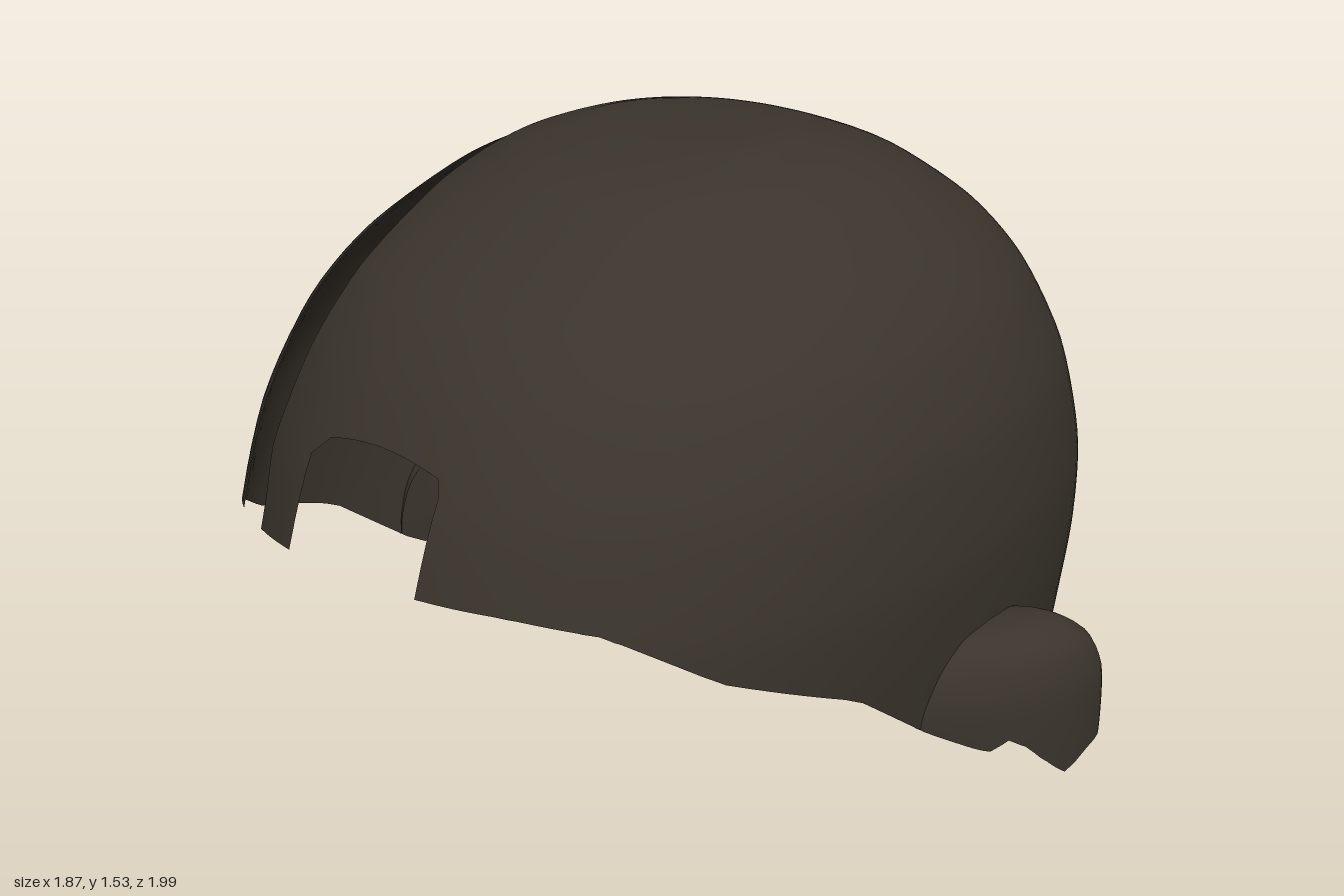
import * as THREE from 'three';

// Piecewise-linear lookup through [key, value] points with rising keys
function lookup(points, k) {
  if (k <= points[0][0]) return points[0][1];
  for (let i = 1; i < points.length; i++) {
    const [a, va] = points[i - 1], [b, vb] = points[i];
    if (k <= b) return va + (vb - va) * (k - a) / (b - a);
  }
  return points[points.length - 1][1];
}

// Rings stacked from the top down; each row is [y, half width, front depth, back depth]
function ringSurface(rows, segments, steps) {
  const outer = new THREE.CatmullRomCurve3(rows.map(r => new THREE.Vector3(r[1], r[0], r[2])), false, 'catmullrom', 0.4);
  const back = new THREE.CatmullRomCurve3(rows.map(r => new THREE.Vector3(r[3], 0, 0)), false, 'catmullrom', 0.4);
  const round = v => Math.sign(v) * Math.pow(Math.abs(v), 2 / 2.2);
  const positions = [], index = [];
  const levels = (rows.length - 1) * steps;
  for (let i = 0; i <= levels; i++) {
    const o = outer.getPoint(i / levels), b = back.getPoint(i / levels).x;
    for (let j = 0; j < segments; j++) {
      const a = j / segments * Math.PI * 2, c = Math.cos(a);
      positions.push(o.x * round(Math.sin(a)), o.y, (c > 0 ? o.z : b) * round(c));
      if (i === levels) continue;
      const p = i * segments + j, q = i * segments + (j + 1) % segments;
      index.push(p, p + segments, q, q, p + segments, q + segments);
    }
  }
  const geometry = new THREE.BufferGeometry();
  geometry.setAttribute('position', new THREE.Float32BufferAttribute(positions, 3));
  geometry.setIndex(index);
  return geometry;
}

// Trims a surface, keeping only what every test function finds positive
function trim(geometry, tests) {
  geometry.computeVertexNormals();
  const flat = geometry.toNonIndexed();
  const P = flat.attributes.position, N = flat.attributes.normal;
  const positions = [], normals = [];
  for (let i = 0; i < P.count; i += 3) {
    let poly = [0, 1, 2].map(k => ({
      p: new THREE.Vector3().fromBufferAttribute(P, i + k),
      n: new THREE.Vector3().fromBufferAttribute(N, i + k),
    }));
    for (const test of tests) {
      const next = [];
      poly.forEach((a, k) => {
        const b = poly[(k + 1) % poly.length], fa = test(a.p), fb = test(b.p);
        if (fa >= 0) next.push(a);
        if ((fa >= 0) !== (fb >= 0)) {
          const t = fa / (fa - fb);
          next.push({ p: a.p.clone().lerp(b.p, t), n: a.n.clone().lerp(b.n, t).normalize() });
        }
      });
      poly = next;
    }
    for (let k = 2; k < poly.length; k++) {
      for (const v of [poly[0], poly[k - 1], poly[k]]) {
        positions.push(v.p.x, v.p.y, v.p.z);
        normals.push(v.n.x, v.n.y, v.n.z);
      }
    }
  }
  const result = new THREE.BufferGeometry();
  result.setAttribute('position', new THREE.Float32BufferAttribute(positions, 3));
  result.setAttribute('normal', new THREE.Float32BufferAttribute(normals, 3));
  return result;
}

// Ragged lower rim: height by z
const RIM = [
  [-0.74, 0], [-0.71, 0.01], [-0.62, 0.11], [-0.55, 0.1], [-0.49, 0.2], [-0.37, 0.19],
  [-0.28, 0.31], [-0.21, 0.31], [-0.11, 0.27], [-0.08, 0.33], [-0.04, 0.34], [-0.03, 0.38],
  [-0.01, 0.36], [0.035, 0.43], [0.045, 0.37], [0.13, 0.42], [0.36, 0.59], [0.66, 0.72],
  [0.83, 0.84], [0.93, 0.87], [1, 0.88],
];
// Long slot: x of its two edges by angle, running from the front over the top to the back
const SLOT_INNER = [
  [24, -0.29], [31, -0.32], [49, -0.31], [69, -0.34], [86, -0.34], [103, -0.25],
  [104.5, -0.36], [125, -0.3], [140, -0.31], [167, -0.31], [180, -0.285],
];
const SLOT_OUTER = [
  [24, -0.42], [36, -0.45], [49, -0.46], [69, -0.44], [90, -0.44], [125, -0.42],
  [168, -0.42], [170, -0.48], [180, -0.4],
];

const aboveRim = p => p.y - lookup(RIM, p.z);
const outsideNotch = p => Math.max(p.y - 1.11 + p.x * p.x, Math.abs(p.x) - 0.168, -p.z);
function outsideSlot(p) {
  let angle = THREE.MathUtils.radToDeg(Math.atan2(p.y - 0.5, p.z));
  if (angle < -90) angle += 360;
  return Math.max(p.x - lookup(SLOT_INNER, angle), lookup(SLOT_OUTER, angle) - p.x, (angle - 180) * 0.015);
}

export function createModel() {
  const group = new THREE.Group();
  const material = new THREE.MeshStandardMaterial({ color: 0x3a342c, side: THREE.DoubleSide });
  const add = (name, geometry) => {
    const mesh = new THREE.Mesh(geometry, material);
    mesh.name = name;
    group.add(mesh);
  };

  // Domed shell with ragged rim, brow notch and slot
  const dome = ringSurface([
    [1.535, 0, 0, 0], [1.53, 0.2, 0.14, 0.17], [1.515, 0.27, 0.27, 0.27], [1.49, 0.35, 0.38, 0.36],
    [1.43, 0.46, 0.52, 0.5], [1.32, 0.59, 0.72, 0.66], [1.2, 0.68, 0.84, 0.77],
    [1.02, 0.75, 0.95, 0.88], [0.8, 0.775, 1.03, 0.97], [0.62, 0.765, 1.06, 1],
    [0.45, 0.745, 1.06, 0.985], [0.31, 0.735, 1.06, 0.93], [0.2, 0.69, 1, 0.88],
    [0.1, 0.67, 0.95, 0.82], [0, 0.65, 0.9, 0.74],
  ], 128, 5);
  add('capShell', trim(dome, [aboveRim, outsideNotch, outsideSlot]));

  // Hooded ear covers, swept back as they stand out from the shell
  for (const side of [1, -1]) {
    const hood = ringSurface([
      [0.61, 0, 0, 0], [0.6, 0.08, 0.1, 0.1], [0.55, 0.145, 0.16, 0.15],
      [0.47, 0.17, 0.19, 0.18], [0.36, 0.173, 0.19, 0.19], [0.24, 0.17, 0.18, 0.19],
    ], 40, 4);
    const P = hood.attributes.position;
    for (let i = 0; i < P.count; i++) {
      const x = P.getX(i);
      P.setXYZ(i, side * 0.76 + x, P.getY(i), P.getZ(i) - 0.06 - 0.8 * side * x);
    }
    add(side > 0 ? 'leftEarCover' : 'rightEarCover', trim(hood, [aboveRim, p => side * p.x - 0.73]));
  }
  return group;
}
